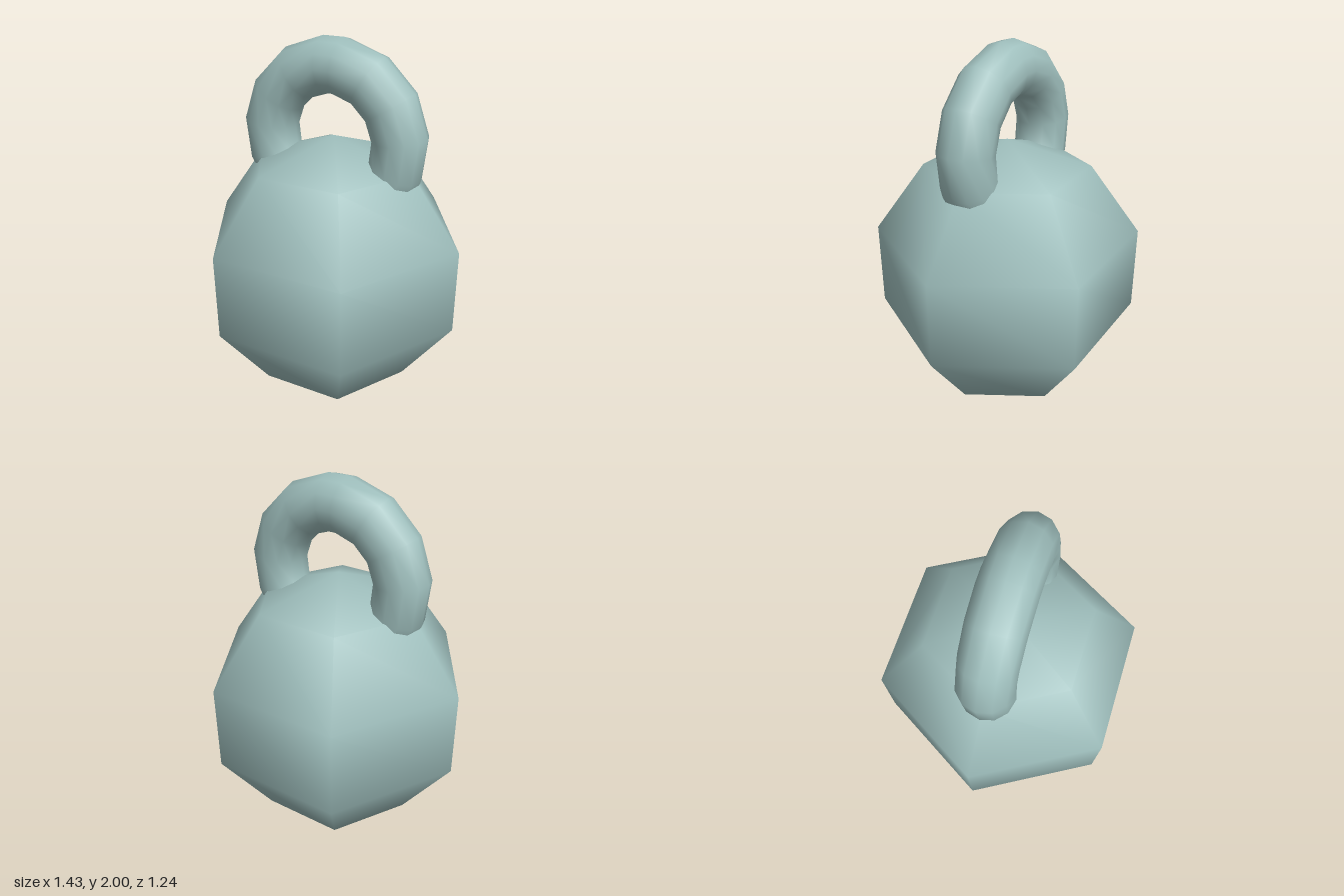
import * as THREE from 'three';

export function createModel() {
  const model = new THREE.Group();
  const iron = new THREE.MeshStandardMaterial({ color: 0x9fbfbd });
  iron.name = 'pale teal';

  // Coarse six-sided ball with smooth normals, points at top and bottom
  const ball = new THREE.Mesh(new THREE.SphereGeometry(0.75, 6, 5), iron);
  ball.name = 'ball';
  ball.position.y = 0.75;
  model.add(ball);

  // Handle: a partial ring whose ends sink into the ball.
  // Steps are even on each side, with a half-length step across the top.
  const step = (Math.PI * 2) / 14;
  const right = [5, 4, 3, 2, 1, 0].map((k) => Math.PI / 2 - step * (k + 0.25));
  const angles = [...right, ...right.map((a) => Math.PI - a).reverse()];
  const segments = angles.length - 1;
  const arc = Math.PI;
  const ring = new THREE.TorusGeometry(0.37, 0.143, 12, segments, arc);
  const axis = new THREE.Vector3(0, 0, 1);
  const v = new THREE.Vector3();
  for (const name of ['position', 'normal']) {
    const attribute = ring.attributes[name];
    for (let n = 0; n < attribute.count; n++) {
      const i = n % (segments + 1);
      v.fromBufferAttribute(attribute, n).applyAxisAngle(axis, angles[i] - (i / segments) * arc);
      attribute.setXYZ(n, v.x, v.y, v.z);
    }
  }
  const handle = new THREE.Mesh(ring, iron);
  handle.name = 'handle';
  handle.position.y = 1.49;
  model.add(handle);

  return model;
}
